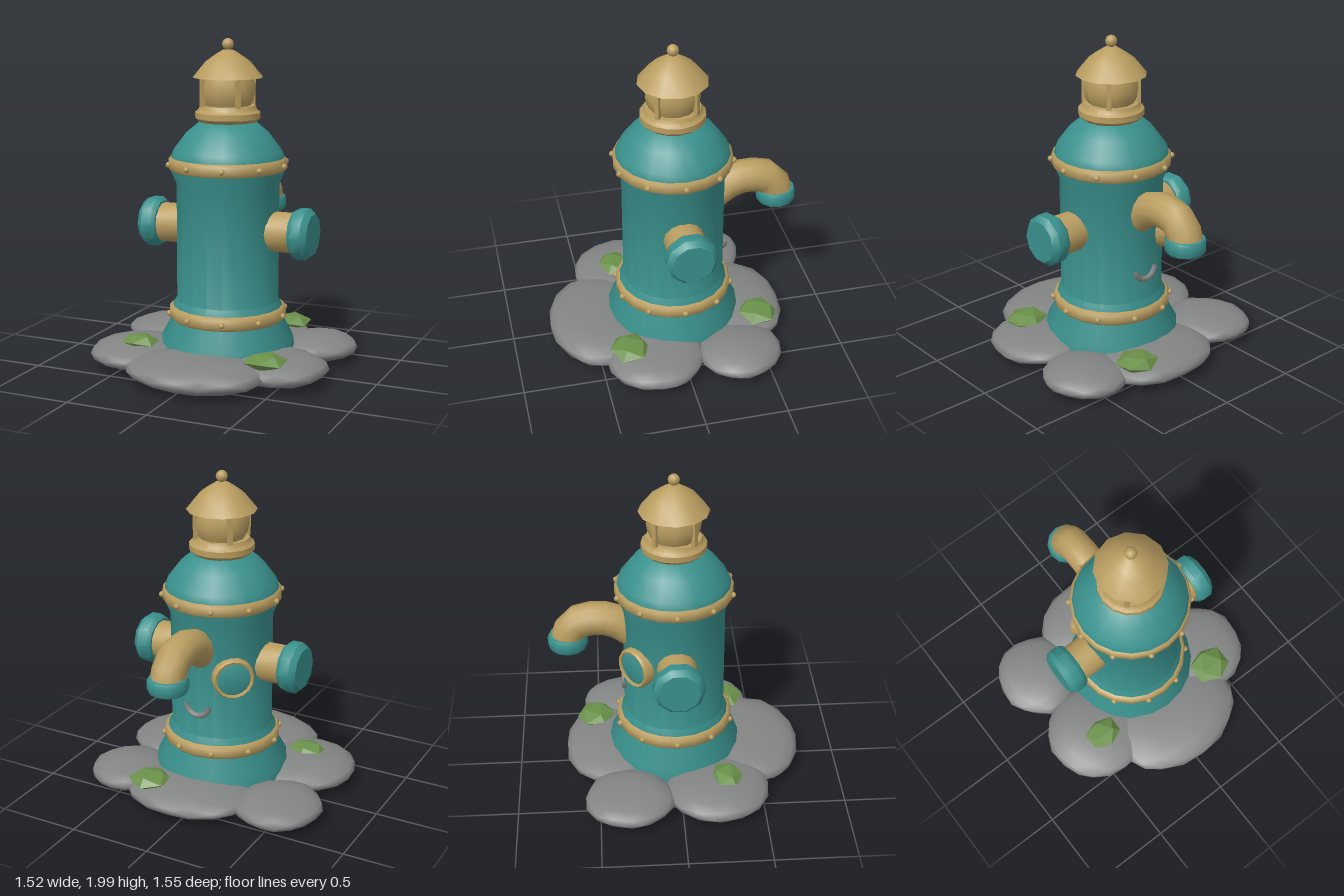
import * as THREE from 'three';
import { mergeVertices, toCreasedNormals } from 'three/addons/utils/BufferGeometryUtils.js';

const paint = (name, color, side = THREE.FrontSide) => {
  const m = new THREE.MeshStandardMaterial({ color, side });
  m.name = name;
  return m;
};

export function createModel() {
  const teal = paint('teal paint', 0x3a918d);
  const brass = paint('brass', 0xb99d60, THREE.DoubleSide);
  const stone = paint('grey stone', 0x828584);
  const moss = paint('moss green', 0x6a9049);

  const model = new THREE.Group();
  model.name = 'hydrant on rocks';
  const hydrant = new THREE.Group();
  hydrant.name = 'hydrant';
  hydrant.position.set(0.037, 0, -0.02);
  model.add(hydrant);

  const add = (parent, name, geometry, material, x = 0, y = 0, z = 0) => {
    const mesh = new THREE.Mesh(geometry, material);
    mesh.name = name;
    mesh.position.set(x, y, z);
    parent.add(mesh);
    return mesh;
  };
  // Turned part from [radius, height] pairs, bottom to top
  const turned = (points, segments, crease = 0.6) => toCreasedNormals(
    new THREE.LatheGeometry(points.map(([r, y]) => new THREE.Vector2(r, y)), segments), crease);

  // Barrel with flared skirt and dome
  add(hydrant, 'barrel', turned([
    [0, 0.08], [0.41, 0.08], [0.405, 0.19], [0.34, 0.31], [0.335, 0.39], [0.31, 0.43],
    [0.31, 1.14], [0.345, 1.22], [0.345, 1.29], [0.325, 1.34], [0.25, 1.44], [0.165, 1.51], [0, 1.53],
  ], 20), teal);

  // Riveted bands
  for (const y of [0.35, 1.258]) {
    add(hydrant, 'band', turned([
      [0.3, -0.044], [0.34, -0.042], [0.357, -0.024], [0.357, 0.024], [0.34, 0.042], [0.3, 0.044],
    ], 20, 0.9), brass, 0, y);
    for (let i = 0; i < 10; i++) {
      const a = (18 + 36 * i) * Math.PI / 180;
      add(hydrant, 'rivet', new THREE.SphereGeometry(0.018, 8, 6), brass,
        Math.sin(a) * 0.36, y, Math.cos(a) * 0.36);
    }
  }

  // Lantern top: collar, lens, posts, roof and ball
  add(hydrant, 'collar', turned([
    [0.14, 1.5], [0.175, 1.51], [0.195, 1.53], [0.195, 1.565], [0.175, 1.58], [0.165, 1.605], [0, 1.605],
  ], 16), brass);
  add(hydrant, 'lens', turned([
    [0.135, 1.6], [0.155, 1.64], [0.163, 1.69], [0.157, 1.74], [0.145, 1.78],
  ], 12, 0.9), brass);
  for (let i = 0; i < 4; i++) {
    const a = Math.PI / 4 + i * Math.PI / 2;
    const post = add(hydrant, 'lantern post', new THREE.BoxGeometry(0.028, 0.18, 0.025), brass,
      Math.sin(a) * 0.16, 1.69, Math.cos(a) * 0.16);
    post.rotation.y = a;
  }
  add(hydrant, 'roof', turned([
    [0, 1.765], [0.21, 1.77], [0.135, 1.862], [0.09, 1.895], [0.035, 1.93], [0, 1.935],
  ], 12, 0.7), brass);
  add(hydrant, 'finial', new THREE.SphereGeometry(0.035, 12, 8), brass, 0, 1.965);

  // Side outlets with caps
  for (const side of [1, -1]) {
    const outlet = new THREE.Group();
    outlet.name = side > 0 ? 'leftOutlet' : 'rightOutlet';
    outlet.position.y = 0.865;
    outlet.rotation.z = -side * Math.PI / 2;
    hydrant.add(outlet);
    add(outlet, 'outlet pipe', turned([[0.12, 0.25], [0.12, 0.45]], 14), brass);
    add(outlet, 'outlet cap', turned([
      [0, 0.428], [0.135, 0.428], [0.155, 0.455], [0.155, 0.515], [0.125, 0.548], [0, 0.548],
    ], 10, 0.7), teal);
  }

  // Bent spout with an open ring at its mouth
  const bend = new THREE.CatmullRomCurve3([
    [0.94, -0.22], [1.03, -0.34], [1.06, -0.45], [1.035, -0.585], [0.96, -0.64], [0.91, -0.65],
  ].map(([y, z]) => new THREE.Vector3(0, y, z)));
  add(hydrant, 'spout', new THREE.TubeGeometry(bend, 7, 0.103, 12), brass);
  add(hydrant, 'spout ring', turned([
    [0.098, -0.045], [0.112, -0.043], [0.121, -0.025], [0.121, 0.025], [0.112, 0.043],
    [0.098, 0.045], [0.098, -0.045],
  ], 12, 0.9), teal, 0, 0.912, -0.645);

  // Round inspection plate on the back right of the barrel
  const plate = new THREE.Group();
  plate.name = 'inspection plate';
  plate.position.y = 0.83;
  const out = new THREE.Vector3(-Math.sin(0.7), 0, -Math.cos(0.7));
  plate.quaternion.setFromUnitVectors(new THREE.Vector3(0, 1, 0), out);
  hydrant.add(plate);
  add(plate, 'plate rim', turned([
    [0.125, 0.25], [0.125, 0.335], [0.115, 0.35], [0.102, 0.345], [0.102, 0.3],
  ], 16), brass);
  add(plate, 'plate face', turned([[0.105, 0.3], [0.105, 0.333], [0.09, 0.34], [0, 0.34]], 16), teal);

  // Hanging hook half sunk in the back wall
  const hook = add(hydrant, 'hook', new THREE.TorusGeometry(0.075, 0.018, 6, 10, Math.PI), stone,
    0, 0.645, -0.31);
  hook.rotation.z = Math.PI;

  // Flat boulders: x, z, half width, half depth, half height
  const rocks = [
    [-0.5, -0.32, 0.26, 0.275, 0.08], [0.51, -0.335, 0.25, 0.255, 0.08],
    [0.05, -0.4, 0.42, 0.31, 0.085], [-0.42, 0.22, 0.325, 0.32, 0.085],
    [0.42, 0.18, 0.325, 0.31, 0.085], [0.04, 0.45, 0.44, 0.33, 0.09],
  ];
  rocks.forEach(([x, z, w, d, h], i) => {
    let g = new THREE.IcosahedronGeometry(1, 2);
    g.deleteAttribute('normal');
    g.deleteAttribute('uv');
    g = mergeVertices(g, 1e-4);
    const p = g.attributes.position;
    for (let k = 0; k < p.count; k++) {
      const [a, b, c] = [p.getX(k), p.getY(k), p.getZ(k)];
      const s = 1 + 0.035 * Math.sin(4 * a + 2.3 * i) * Math.cos(3 * c + 1.7 * i) + 0.02 * Math.sin(7 * c + i);
      p.setXYZ(k, a * s * w, b * h * (1 + 0.08 * Math.sin(3 * a + 2 * c + i)), c * s * d);
    }
    g.computeVertexNormals();
    add(model, 'boulder', g, stone, x, 0.1, z);
  });

  // Faceted moss tufts: x, z, half width, half depth
  for (const [x, z, w, d] of [
    [-0.415, 0.275, 0.115, 0.095], [0.43, 0.335, 0.125, 0.115], [0.265, -0.515, 0.125, 0.115],
  ]) {
    const g = toCreasedNormals(new THREE.IcosahedronGeometry(1, 0), 0.1);
    g.rotateX(0.3);
    g.scale(w * 1.08, 0.05, d * 1.08);
    add(model, 'moss tuft', g, moss, x, 0.175, z);
  }
  return model;
}
